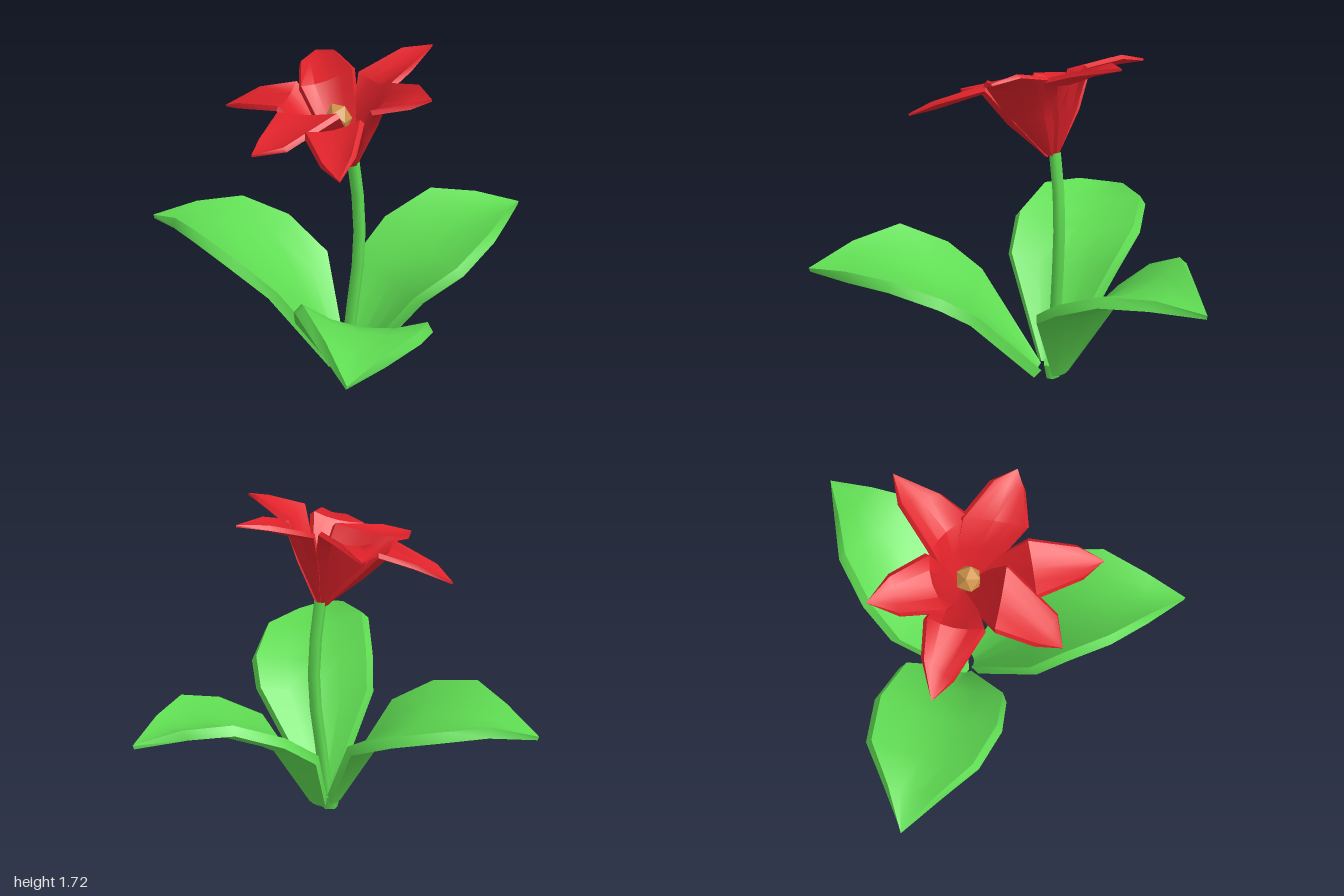
import * as THREE from 'three';
import { toCreasedNormals } from 'three/addons/utils/BufferGeometryUtils.js';

const paint = (color) => new THREE.MeshStandardMaterial({ color });
const V = (a) => new THREE.Vector3(...a);

// Cupped blade: each row is [left rim, right rim, sag of the midrib];
// the last row is the tip, where both rims meet.
function bladeGeometry(rows, thickness) {
  const left = rows.map((r) => V(r[0]));
  const right = rows.map((r) => V(r[1]));
  const mid = left.map((p, i) => p.clone().lerp(right[i], 0.5));
  const last = rows.length - 1;
  const across = [-1, -0.5, 0, 0.5, 1];
  const n = across.length * 2;
  const rings = rows.map((row, i) => {
    const w = Math.min(i, last - 1);
    const side = right[w].clone().sub(left[w]).normalize();
    const forward = mid[Math.min(i + 1, last)].clone().sub(mid[Math.max(i - 1, 0)]);
    const up = side.clone().cross(forward).normalize();
    const depth = i === last ? thickness * 0.5 : thickness;
    const lean = i === last ? 0 : thickness * 0.5;
    const upper = across.map((u) => left[i].clone().lerp(right[i], (u + 1) / 2)
      .addScaledVector(up, -row[2] * (1 - u * u)));
    // the edge faces lean outward, so the lower skin is a little wider
    const under = upper.map((p, j) => p.clone().addScaledVector(up, -depth)
      .addScaledVector(side, across[j] * lean * 0.4));
    upper.forEach((p, j) => p.addScaledVector(side, -across[j] * lean));
    return [...upper, ...under.reverse()];
  });
  const pos = [];
  const quad = (a, b, c, d) => [a, b, c, a, c, d].forEach((p) => pos.push(p.x, p.y, p.z));
  for (let i = 0; i < last; i++) {
    for (let j = 0; j < n; j++) {
      const k = (j + 1) % n;
      quad(rings[i][j], rings[i][k], rings[i + 1][k], rings[i + 1][j]);
    }
  }
  // close the base between the upper and lower skin
  const r = rings[0];
  for (let j = 0; j < across.length - 1; j++) quad(r[j], r[n - 1 - j], r[n - 2 - j], r[j + 1]);
  const geo = new THREE.BufferGeometry();
  geo.setAttribute('position', new THREE.Float32BufferAttribute(pos, 3));
  return toCreasedNormals(geo, 0.85);
}

export function createModel() {
  const model = new THREE.Group();
  const green = paint(0x5fdc52);
  const red = paint(0xe0222a);
  const orange = paint(0xd0944a);
  const add = (name, geo, mat, parent = model) => {
    const mesh = new THREE.Mesh(geo, mat);
    mesh.name = name;
    parent.add(mesh);
    return mesh;
  };

  // Three broad arching leaves
  const leaves = {
    rightLeaf: [
      [[0.22, 0.07, 0.03], [0.22, 0.07, -0.1], 0.02],
      [[0.0, 0.55, 0.28], [-0.01, 0.54, -0.3], 0.06],
      [[-0.22, 0.7, 0.32], [-0.27, 0.68, -0.34], 0.07],
      [[-0.48, 0.78, 0.28], [-0.53, 0.75, -0.29], 0.06],
      [[-0.69, 0.75, 0.16], [-0.72, 0.74, -0.13], 0.03],
      [[-0.91, 0.67, 0.03], [-0.91, 0.67, 0.03], 0],
    ],
    frontLeaf: [
      [[0.34, 0.07, -0.04], [0.22, 0.07, 0.01], 0.02],
      [[0.75, 0.51, 0.12], [0.17, 0.52, 0.35], 0.06],
      [[0.85, 0.62, 0.25], [0.25, 0.68, 0.5], 0.07],
      [[0.91, 0.7, 0.5], [0.38, 0.8, 0.7], 0.06],
      [[0.86, 0.69, 0.76], [0.58, 0.76, 0.86], 0.03],
      [[0.79, 0.66, 1], [0.79, 0.66, 1], 0],
    ],
    backLeaf: [
      [[0.19, 0.07, -0.1], [0.31, 0.07, -0.06], 0.02],
      [[0.09, 0.5, -0.37], [0.6, 0.5, -0.1], 0.06],
      [[0.17, 0.68, -0.56], [0.76, 0.64, -0.26], 0.07],
      [[0.34, 0.81, -0.76], [0.83, 0.75, -0.5], 0.06],
      [[0.55, 0.79, -0.88], [0.81, 0.76, -0.75], 0.03],
      [[0.77, 0.72, -1], [0.77, 0.72, -1], 0],
    ],
  };
  for (const [name, rows] of Object.entries(leaves)) {
    add(name, bladeGeometry(rows, 0.045), green);
  }

  // Slender bent stem on a small flattened foot
  const path = new THREE.CatmullRomCurve3([
    [0.22, 0.0, -0.06], [0.245, 0.35, -0.08], [0.268, 0.7, -0.105],
    [0.26, 0.95, -0.105], [0.24, 1.21, -0.075],
  ].map(V));
  add('stem', new THREE.TubeGeometry(path, 6, 0.031, 6), green);
  const foot = add('stemFoot', new THREE.CylinderGeometry(0.07, 0.05, 0.08, 6), green);
  foot.position.set(0.22, 0.04, -0.055);
  foot.scale.z = 0.7;

  // Six petals: [shoulder left, shoulder right, outer left, outer right, tip, shoulder sag]
  const flower = new THREE.Group();
  flower.name = 'flower';
  model.add(flower);
  const petals = [
    [[-0.05, 1.51, 0.16], [-0.1, 1.545, -0.12], [-0.32, 1.45, 0.1], [-0.28, 1.5, -0.07], [-0.43, 1.4, 0.03], 0.04],
    [[-0.04, 1.55, -0.03], [0.17, 1.64, -0.2], [-0.15, 1.6, -0.22], [0, 1.66, -0.33], [-0.15, 1.61, -0.39], 0.04],
    [[0.19, 1.62, -0.2], [0.42, 1.62, -0.08], [0.33, 1.71, -0.4], [0.46, 1.68, -0.24], [0.46, 1.72, -0.48], 0.04],
    [[0.39, 1.63, -0.12], [0.46, 1.6, 0.19], [0.6, 1.69, -0.04], [0.63, 1.64, 0.12], [0.71, 1.66, 0.05], 0.04],
    [[0.43, 1.56, 0.2], [0.19, 1.49, 0.33], [0.51, 1.49, 0.43], [0.38, 1.44, 0.51], [0.51, 1.41, 0.57], 0.02],
    [[0.28, 1.54, 0.15], [-0.04, 1.5, 0.2], [0.16, 1.45, 0.45], [-0.02, 1.44, 0.4], [0.02, 1.41, 0.52], 0.01],
  ];
  const hub = new THREE.Vector3(0.24, 1.19, -0.06);
  petals.forEach(([sl, sr, ol, or, tip, sag], i) => {
    // the petal widens quickly from the hub to its shoulder
    const shoulder = V(sl).lerp(V(sr), 0.5);
    const half = V(sr).sub(V(sl)).multiplyScalar(0.5);
    const row = (t, width, dip) => {
      const c = hub.clone().lerp(shoulder, t);
      return [-width, width].map((s) => c.clone().addScaledVector(half, s).toArray()).concat(dip);
    };
    const rows = [
      row(0.03, 0.15, 0),
      row(0.55, 0.75, 0.025),
      [sl, sr, sag],
      [ol, or, 0.02],
      [tip, tip, 0],
    ];
    add('petal' + (i + 1), bladeGeometry(rows, 0.022), red, flower);
  });

  // Faceted pistil in the throat
  orange.flatShading = true;
  const pistil = add('pistil', new THREE.IcosahedronGeometry(0.068, 0), orange, flower);
  pistil.scale.y = 1.2;
  pistil.position.set(0.19, 1.44, -0.01);
  const stalk = add('pistilStalk', new THREE.CylinderGeometry(0.035, 0.02, 0.24, 5), orange, flower);
  stalk.position.set(0.215, 1.32, -0.04);
  stalk.rotation.set(0.18, 0, 0.18);

  return model;
}
